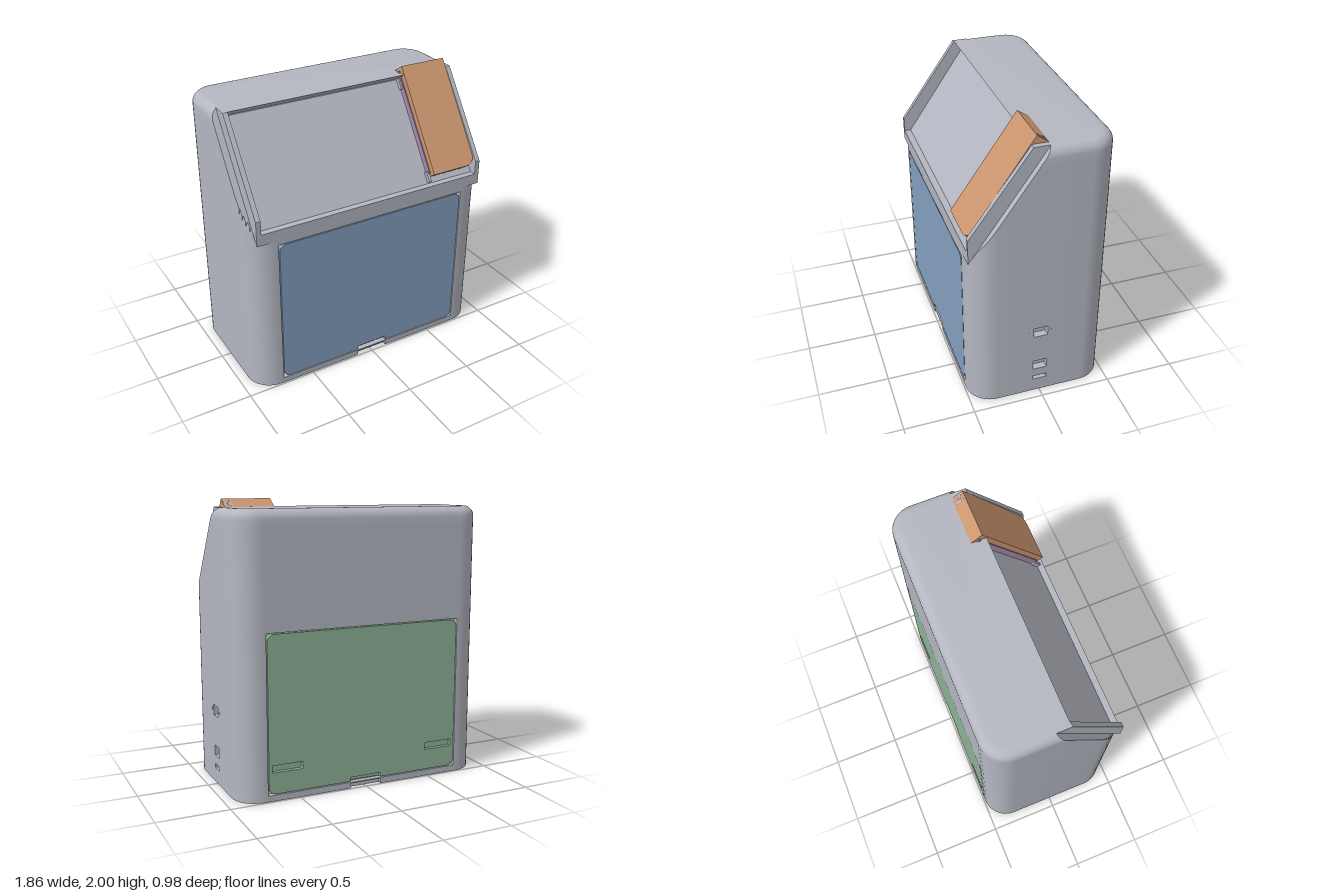
import * as THREE from 'three';
import { toCreasedNormals } from 'three/addons/utils/BufferGeometryUtils.js';

const material = (name, color) => {
  const m = new THREE.MeshStandardMaterial({ color });
  m.name = name;
  return m;
};

// Overall sizes
const W = 0.93, D = 0.49, H = 1.945, R = 0.18, FILLET = 0.07;
const SLOPE_Y = 1.18, SLOPE = 0.53 / 0.765;
const DOOR_X = 0.732, NOTCH_X = 0.12, PORT_Z = 0.05;
const slopeZ = (y) => D - Math.max(0, y - SLOPE_Y) * SLOPE;

function roundedRect(x0, y0, x1, y1, r, notch = 0) {
  const s = new THREE.Shape();
  s.moveTo(x0 + r, y0);
  if (notch) {
    const c = (x0 + x1) / 2;
    s.lineTo(c - NOTCH_X, y0).lineTo(c - NOTCH_X, y0 + notch);
    s.lineTo(c + NOTCH_X, y0 + notch).lineTo(c + NOTCH_X, y0);
  }
  s.lineTo(x1 - r, y0).absarc(x1 - r, y0 + r, r, -Math.PI / 2, 0);
  s.absarc(x1 - r, y1 - r, r, 0, Math.PI / 2);
  s.absarc(x0 + r, y1 - r, r, Math.PI / 2, Math.PI);
  s.absarc(x0 + r, y0 + r, r, Math.PI, Math.PI * 1.5);
  return s;
}

const extrude = (shape, depth) =>
  toCreasedNormals(new THREE.ExtrudeGeometry(shape, { depth, bevelEnabled: false, curveSegments: 8 }), 0.5);

// Extrude a (z, y) profile along x
function profileX(points, x0, x1) {
  const shape = new THREE.Shape(points.map(([z, y]) => new THREE.Vector2(-z, y)));
  return extrude(shape, x1 - x0).rotateY(Math.PI / 2).translate(x0, 0, 0);
}

// One horizontal outline of the housing, with door, notch and port recesses
function outline(y, inset, door, notch, port) {
  const pts = [], w = W - inset, d = D - inset, r = R - inset;
  const corner = (sx, sz, start) => {
    for (let i = 0; i <= 10; i++) {
      const t = start + (i / 10) * Math.PI / 2;
      pts.push([sx * (W - R) + r * Math.cos(t), sz * (D - R) + r * Math.sin(t)]);
    }
  };
  const face = (s) => {
    const a = d - door, b = d - notch;
    for (const [x, z] of [[DOOR_X, d], [DOOR_X, a], [NOTCH_X, a], [NOTCH_X, b],
      [-NOTCH_X, b], [-NOTCH_X, a], [-DOOR_X, a], [-DOOR_X, d]]) pts.push([s * x, s * z]);
  };
  pts.push([w, -PORT_Z], [w - port, -PORT_Z], [w - port, PORT_Z], [w, PORT_Z]);
  corner(1, 1, 0);
  face(1);
  corner(-1, 1, Math.PI / 2);
  corner(-1, -1, Math.PI);
  face(-1);
  corner(1, -1, Math.PI * 1.5);
  return pts.map(([x, z]) => [x, y, Math.min(z, slopeZ(y))]);
}

function housingGeometry() {
  const rows = [];
  // Lower part: each band has its own recess depths
  const breaks = [0, 0.035, 0.043, 0.105, 0.135, 0.2, 0.275, 0.495, 0.57, 1.147, SLOPE_Y];
  const inside = (y, a, b) => y > a && y < b;
  for (let i = 0; i < breaks.length - 1; i++) {
    const m = (breaks[i] + breaks[i + 1]) / 2;
    const door = inside(m, 0.043, 1.147) ? 0.04 : 0;
    const notch = m < 0.035 ? 0.03 : door;
    const port = inside(m, 0.105, 0.135) || inside(m, 0.2, 0.275) || inside(m, 0.495, 0.57) ? 0.05 : 0;
    rows.push(outline(breaks[i], 0, door, notch, port), outline(breaks[i + 1], 0, door, notch, port));
  }
  // Sloped part, then the rounded top edge
  for (let i = 9; i >= 0; i--) {
    const z = D - R + R * Math.sin((i / 10) * Math.PI / 2);
    rows.push(outline(SLOPE_Y + (D - z) / SLOPE, 0, 0, 0, 0));
  }
  rows.push(outline(SLOPE_Y + (D - PORT_Z) / SLOPE, 0, 0, 0, 0));
  for (let i = 0; i <= 7; i++) {
    const t = (i / 7) * Math.PI / 2;
    rows.push(outline(H - FILLET + FILLET * Math.sin(t), FILLET * (1 - Math.cos(t)), 0, 0, 0));
  }
  const pos = [], n = rows[0].length;
  for (let j = 0; j < rows.length - 1; j++) {
    for (let i = 0; i < n; i++) {
      const k = (i + 1) % n;
      const a = rows[j][i], b = rows[j][k], c = rows[j + 1][k], d = rows[j + 1][i];
      pos.push(...a, ...d, ...b, ...b, ...d, ...c);
    }
  }
  const top = rows[rows.length - 1];
  for (let i = 0; i < n; i++) pos.push(0, H, -0.2, ...top[(i + 1) % n], ...top[i]);
  const g = new THREE.BufferGeometry();
  g.setAttribute('position', new THREE.Float32BufferAttribute(pos, 3));
  return { geometry: toCreasedNormals(g, 0.4), base: rows[0] };
}

export function createModel() {
  const model = new THREE.Group();
  const grey = material('housing grey', 0xb4b7c1);
  const blue = material('front door blue', 0x84a0c0);
  const green = material('back door green', 0x8db196);
  const orange = material('cover orange', 0xcb966f);
  const purple = material('base purple', 0xa78baf);
  const add = (name, geometry, mat, parent = model) => {
    const mesh = new THREE.Mesh(geometry, mat);
    mesh.name = name;
    parent.add(mesh);
    return mesh;
  };
  const box = (name, size, at, mat, parent) =>
    add(name, new THREE.BoxGeometry(...size).translate(...at), mat, parent);

  // Housing shell and its base rim
  const { geometry, base } = housingGeometry();
  add('housing', geometry, grey);
  const rim = new THREE.Shape(base.map(([x, , z]) => new THREE.Vector2(x, z)));
  rim.holes.push(roundedRect(-0.85, -0.41, 0.85, 0.41, 0.1));
  add('baseRim', new THREE.ShapeGeometry(rim).rotateX(Math.PI / 2), grey);
  add('baseGap', new THREE.ShapeGeometry(roundedRect(-0.86, -0.42, 0.86, 0.42, 0.1))
    .rotateX(Math.PI / 2).translate(0, 0.02, 0), grey);
  add('basePlate', extrude(roundedRect(-0.843, -0.403, 0.843, 0.403, 0.1), 0.015)
    .rotateX(Math.PI / 2).translate(0, 0.015, 0), purple);

  // Flush doors, with a finger notch and optional grip slots
  const addDoor = (name, mat, slots, turn) => {
    const door = new THREE.Group();
    door.name = name;
    const shape = roundedRect(-0.725, 0.05, 0.725, 1.14, 0.05, 0.03);
    for (const x of slots) shape.holes.push(roundedRect(x - 0.11, 0.2, x + 0.11, 0.25, 0.005));
    add(name + 'Panel', extrude(shape, 0.03).translate(0, 0, 0.46), mat, door);
    add(name + 'Backing', extrude(roundedRect(-0.725, 0.05, 0.725, 1.14, 0.05), 0.009)
      .translate(0, 0, 0.451), mat, door);
    door.rotation.y = turn;
    model.add(door);
  };
  addDoor('frontDoor', blue, [], 0);
  addDoor('backDoor', green, [-0.59, 0.59], Math.PI);

  // Port details on the side
  box('portSocket', [0.01, 0.014, 0.08], [W - 0.045, 0.12, 0], purple);
  for (const z of [-0.08, 0.08]) {
    add('portScrew', new THREE.CylinderGeometry(0.01, 0.01, 0.004, 6)
      .rotateZ(Math.PI / 2).translate(W, 0.535, z), grey);
  }

  // Sloped tray: cheeks, lower lip, top rail and panel
  const cheek = [[D, SLOPE_Y], [D, 1.36], [0.07, H], [-0.04, H]];
  add('rightCheek', profileX(cheek, -0.885, -0.85), grey);
  add('leftCheek', profileX(cheek, 0.85, 0.885), grey);
  add('lowerLip', profileX([[D, SLOPE_Y], [D, 1.26], [0.42, 1.26]], -0.85, 0.85), grey);
  add('topRail', profileX([[0.065, H], [-0.045, H], [-0.01, 1.89]], -0.85, 0.85), grey);
  add('slopedPanel', profileX([[0.45, 1.25], [0.004, 1.893], [-0.02, 1.893], [0.42, 1.25]], -0.85, 0.85), grey);

  // Raised cover, in a group lying along the slope
  const cover = new THREE.Group();
  cover.name = 'cover';
  cover.position.set(0.49, 1.29, 0.41);
  cover.rotation.x = -Math.atan(SLOPE);
  model.add(cover);
  const L = 0.797, CW = 0.355, T = 0.097;
  const lid = new THREE.Shape();
  lid.moveTo(0, 0).lineTo(CW - 0.08, 0).quadraticCurveTo(CW - 0.01, 0.005, CW, 0.06);
  lid.lineTo(CW, L).lineTo(0, L).closePath();
  add('coverShell', extrude(lid, T), orange, cover);
  box('coverSidePlate', [0.008, L - 0.04, 0.05], [-0.004, L / 2, 0.03], purple, cover);
  for (let i = 0; i < 4; i++) {
    box('coverVent', [0.045, 0.006, 0.022], [0.05 + i * 0.07, -0.001, 0.052], grey, cover);
  }
  box('coverFoot', [0.05, 0.04, 0.03], [0.315, 0.021, 0.016], grey, cover);
  box('coverInsert', [0.03, 0.02, 0.02], [0.325, 0.025, 0.045], green, cover);
  for (let i = 0; i < 3; i++) {
    box('coverTopSlot', [0.01, 0.006, 0.07], [0.3 + i * 0.02, L - 0.002, 0.045], i === 1 ? purple : grey, cover);
  }
  for (const y of [0.0, 0.69]) {
    box('coverClip', [0.02, 0.08, 0.04], [-0.01, y, 0.02], grey, cover);
  }
  return model;
}
